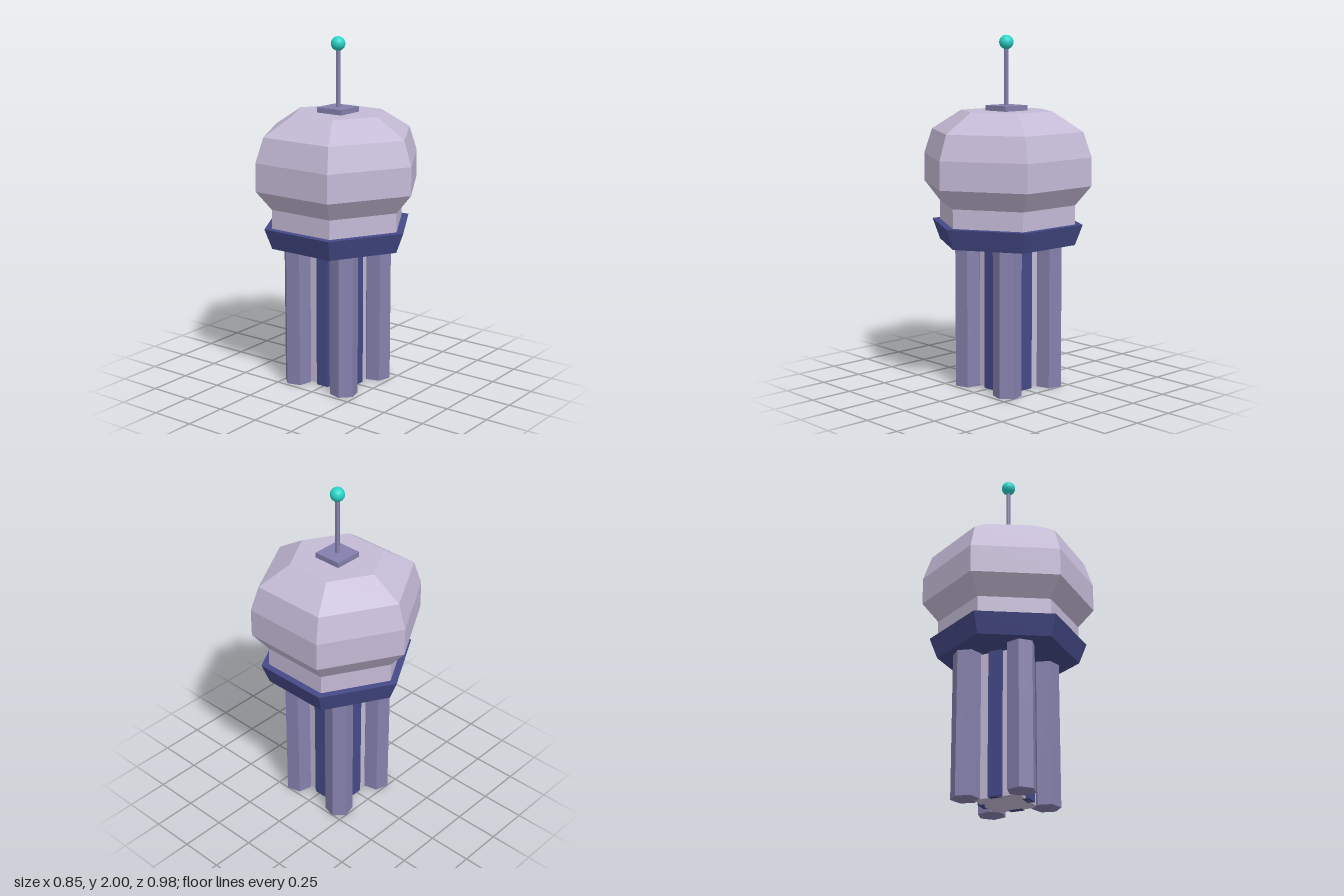
import * as THREE from 'three';

const material = (color, flatShading = true) => {
  const m = new THREE.MeshStandardMaterial({ flatShading });
  m.color.set(color);
  return m;
};

export function createModel() {
  const model = new THREE.Group();
  model.name = 'tower';

  const pale = material(0xc4bad6);
  const purple = material(0x8580ad);
  const navy = material(0x454a88);
  const teal = material(0x2ad4c8, false);

  function add(parent, name, geometry, mat, x = 0, y = 0, z = 0) {
    const mesh = new THREE.Mesh(geometry, mat);
    mesh.name = name;
    mesh.position.set(x, y, z);
    parent.add(mesh);
    return mesh;
  }

  // Six-sided solid of revolution, with a corner facing front
  const hexLathe = (profile) =>
    new THREE.LatheGeometry(profile.map(([r, y]) => new THREE.Vector2(r, y)), 6);

  // Shaft: square core, a strip on each face and a column on each corner
  const height = 0.84;
  const shaft = new THREE.Group();
  shaft.name = 'shaft';
  shaft.position.set(0.009, 0, -0.009);
  model.add(shaft);
  add(shaft, 'core', new THREE.BoxGeometry(0.26, height, 0.26), pale, 0, height / 2, 0);

  for (let i = 0; i < 4; i++) {
    const side = new THREE.Group();
    side.name = 'shaftSide';
    side.rotation.y = (i * Math.PI) / 2;
    shaft.add(side);
    add(side, 'strip', new THREE.BoxGeometry(0.078, height, 0.04), navy, 0, height / 2, 0.131);
    const column = add(side, 'column', new THREE.CylinderGeometry(0.08, 0.08, height, 6),
      purple, 0.164, height / 2, 0.164);
    // A flat face points outward along the diagonal
    column.rotation.y = Math.PI / 4 + Math.PI / 6;
  }

  // Flared collar under the head
  add(model, 'collar', hexLathe([[0, 0.835], [0.4, 0.835], [0.445, 0.952], [0, 0.952]]), navy);

  // Neck and bulging head
  add(model, 'head', hexLathe([
    [0.4, 0.94], [0.4, 1.06], [0.492, 1.17], [0.492, 1.33],
    [0.444, 1.47], [0.267, 1.58], [0, 1.58],
  ]), pale);

  // Antenna
  add(model, 'antennaBase', new THREE.BoxGeometry(0.166, 0.04, 0.166), purple, 0, 1.59, 0);
  add(model, 'antennaMast', new THREE.CylinderGeometry(0.013, 0.013, 0.35, 6), purple, 0, 1.775, 0);
  add(model, 'antennaTip', new THREE.SphereGeometry(0.04, 24, 16), teal, 0, 1.96, 0);

  return model;
}
